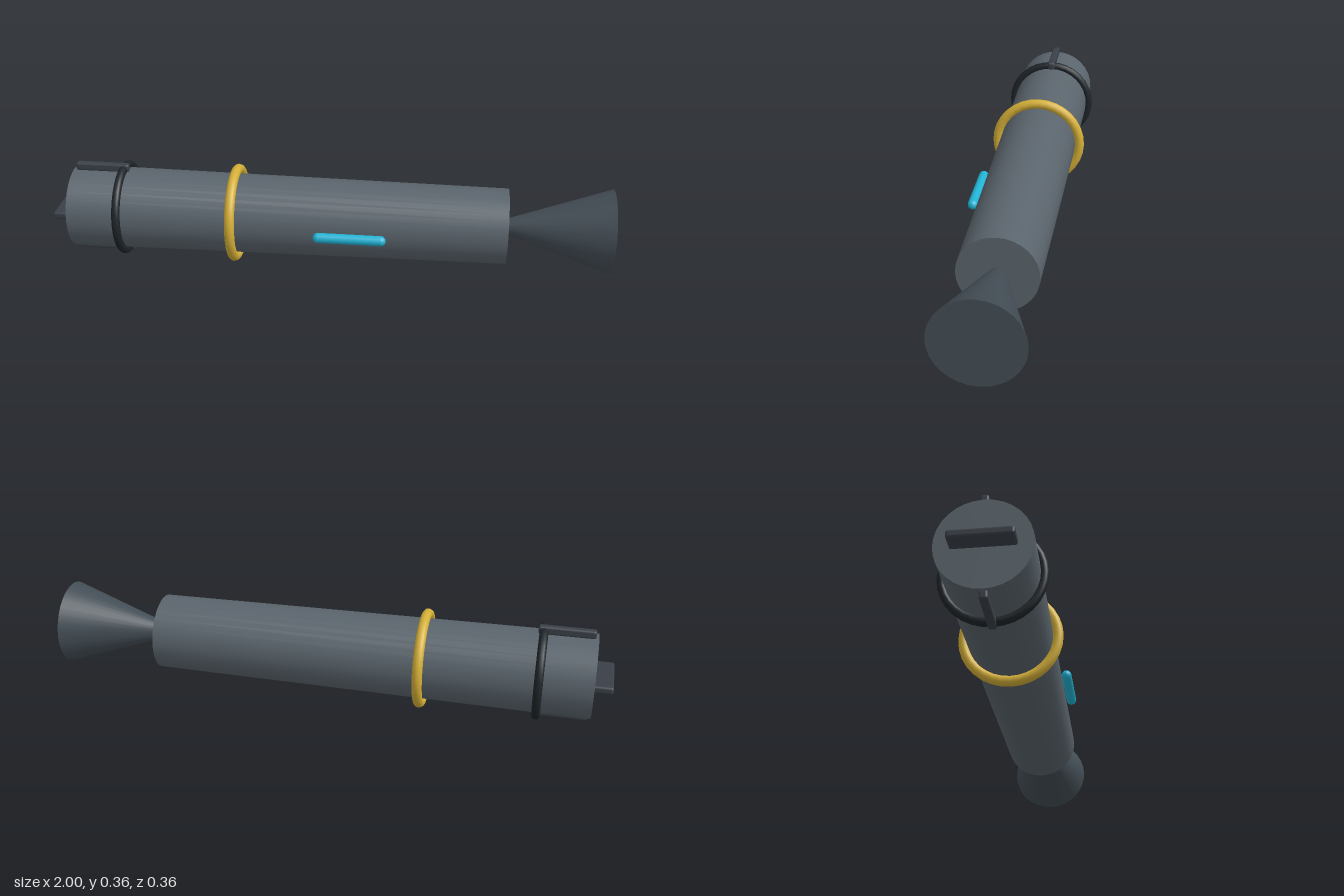
import * as THREE from 'three';
import { RoundedBoxGeometry } from 'three/addons/geometries/RoundedBoxGeometry.js';

const AXIS_Y = 0.18; // height of the long axis

export function createModel() {
  const group = new THREE.Group();
  const paint = (color) => new THREE.MeshStandardMaterial({ color });
  const hull = paint(0x5a646c);
  const nozzleGrey = paint(0x434d55);
  const finGrey = paint(0x3a4048);
  const black = paint(0x1e2429);
  const gold = paint(0xd4af37);
  const cyan = paint(0x22b4d6);

  const add = (name, geometry, material, x, y = 0, z = 0) => {
    const mesh = new THREE.Mesh(geometry, material);
    mesh.name = name;
    mesh.position.set(x, AXIS_Y + y, z);
    group.add(mesh);
    return mesh;
  };

  // Closed cone frustum along x, from xLeft to xRight
  const frustum = (xLeft, rLeft, xRight, rRight) =>
    new THREE.CylinderGeometry(rRight, rLeft, xRight - xLeft, 32)
      .rotateZ(-Math.PI / 2)
      .translate((xLeft + xRight) / 2, 0, 0);

  // Ring around the x axis
  const ring = (radius, tube) =>
    new THREE.TorusGeometry(radius, tube, 12, 32).rotateY(Math.PI / 2);

  // Slightly tapered tube and flared bell
  add('body', frustum(-0.935, 0.149, 0.635, 0.135), hull, 0);
  add('nozzle', frustum(0.635, 0.028, 1, 0.15), nozzleGrey, 0);

  // Bands
  add('goldBand', ring(0.16, 0.018), gold, -0.34);
  add('darkBand', ring(0.157, 0.015), black, -0.75);

  // Rails above and below the tail end
  for (const side of [1, -1]) {
    add(side > 0 ? 'topRail' : 'bottomRail',
      new RoundedBoxGeometry(0.195, 0.03, 0.028, 2, 0.008), finGrey, -0.828, side * 0.16);
  }

  // Flat plate sticking out of the end
  add('endPlate', new RoundedBoxGeometry(0.12, 0.026, 0.2, 2, 0.008), finGrey, -0.94);

  // Light strip along the front side
  add('lightStrip',
    new THREE.CapsuleGeometry(0.018, 0.22, 6, 16).rotateZ(Math.PI / 2), cyan, 0.085, 0, 0.16);

  return group;
}
